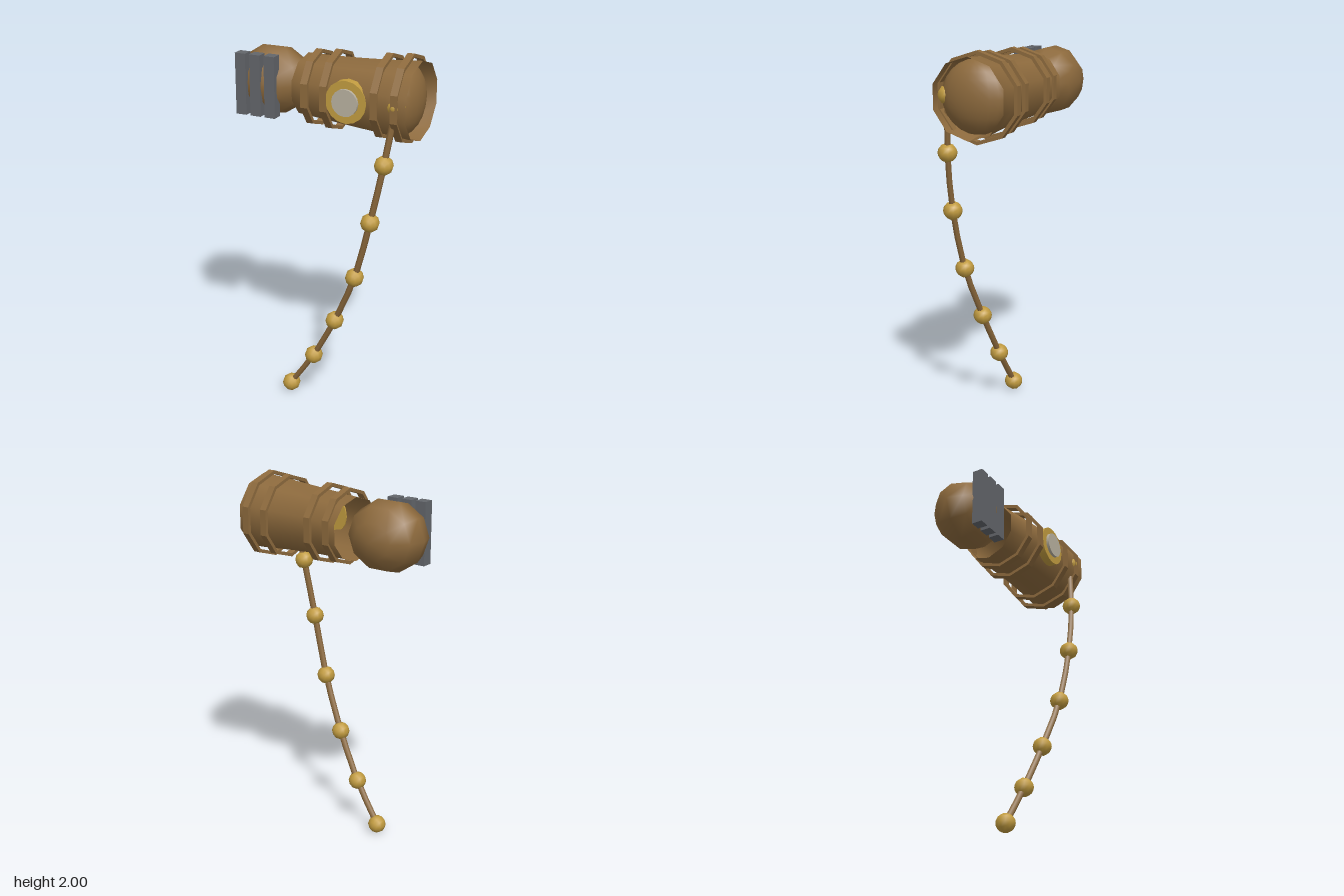
import * as THREE from 'three';
import { toCreasedNormals } from 'three/addons/utils/BufferGeometryUtils.js';

const AXIS_Y = 1.77;

function material(name, color, side = THREE.FrontSide) {
  const m = new THREE.MeshStandardMaterial({ color, side });
  m.name = name;
  return m;
}

export function createModel() {
  const leather = material('leather brown', 0x8d6a3d, THREE.DoubleSide);
  const gold = material('gold', 0xc29c40);
  const steel = material('dark steel', 0x63666b);
  const pale = material('pale dial', 0xb9b1a0);

  const model = new THREE.Group();
  model.name = 'armModel';
  const add = (name, geometry, mat, x = 0, y = 0, z = 0) => {
    const mesh = new THREE.Mesh(geometry, mat);
    mesh.name = name;
    mesh.position.set(x, y, z);
    model.add(mesh);
    return mesh;
  };

  // Low-poly ball with its poles on the z axis
  const ball = (rx, ry, rz) =>
    new THREE.SphereGeometry(1, 10, 6).rotateX(Math.PI / 2).scale(rx, ry, rz);

  // Forearm sleeve: tapered, with its narrow end curving backwards
  const length = 0.645;
  const sleeve = new THREE.CylinderGeometry(1, 1, length, 10, 6, true, Math.PI / 2)
    .rotateZ(-Math.PI / 2);
  const p = sleeve.attributes.position;
  for (let i = 0; i < p.count; i++) {
    const t = p.getX(i) / length + 0.5;
    const r = 0.165 + 0.022 * t + 0.018 * t * t;
    const z = p.getZ(i) * r;
    const tilt = 0.13 - 0.09 * t;
    p.setXYZ(i, -0.12 + length * t - tilt * z, p.getY(i) * r, z - 0.055 * (1 - t) ** 2);
  }
  sleeve.computeVertexNormals();
  add('forearm', sleeve, leather, 0, AXIS_Y, 0);

  // Rounded elbow closing the wide end
  const elbow = new THREE.SphereGeometry(1, 20, 12).scale(0.11, 0.187, 0.187);
  add('elbowCap', elbow, leather, 0.423, AXIS_Y, 0);

  // Hand
  add('hand', ball(0.212, 0.187, 0.172), leather, -0.323, AXIS_Y, -0.063);

  // Raised bands around the forearm, growing towards the elbow
  [[-0.041, 0.2], [0.069, 0.21], [0.345, 0.22], [0.455, 0.23]].forEach(([x, r], i) => {
    const h = 0.019, inner = r - 0.018;
    const section = [[r, -h], [r, h], [inner, h], [inner, -h], [r, -h]]
      .map(([a, b]) => new THREE.Vector2(a, b));
    const band = new THREE.LatheGeometry(section, 10, Math.PI / 2).rotateZ(-Math.PI / 2);
    add('band' + (i + 1), toCreasedNormals(band, 0.5), leather, x, AXIS_Y, -0.022);
  });

  // Knuckle bars across the front of the hand
  [-0.43, -0.347, -0.264].forEach((x, i) =>
    add('knuckleBar' + (i + 1), new THREE.BoxGeometry(0.059, 0.325, 0.059), steel, x, 1.772, 0.084));

  // Round dial on the front of the forearm
  const disc = (r, depth) => new THREE.CylinderGeometry(r, r, depth, 16).rotateX(Math.PI / 2);
  add('dialRim', disc(0.11, 0.043), gold, 0.193, AXIS_Y, 0.156);
  add('dialFace', disc(0.07, 0.04), pale, 0.193, AXIS_Y, 0.173);

  // Hanging cord with beads
  const beads = [
    [0.45, 1.775, 0.15], [0.405, 1.475, 0.18], [0.34, 1.16, 0.19], [0.25, 0.828, 0.172],
    [0.12, 0.53, 0.135], [-0.02, 0.27, 0.105], [-0.17, 0.048, 0.087],
  ].map((a) => new THREE.Vector3(...a));
  const path = new THREE.CatmullRomCurve3(beads);
  add('cord', new THREE.TubeGeometry(path, 12, 0.017, 6), leather);
  beads.forEach((b, i) => add('bead' + (i + 1), ball(0.05, 0.05, 0.05), gold, b.x, b.y, b.z));

  return model;
}
